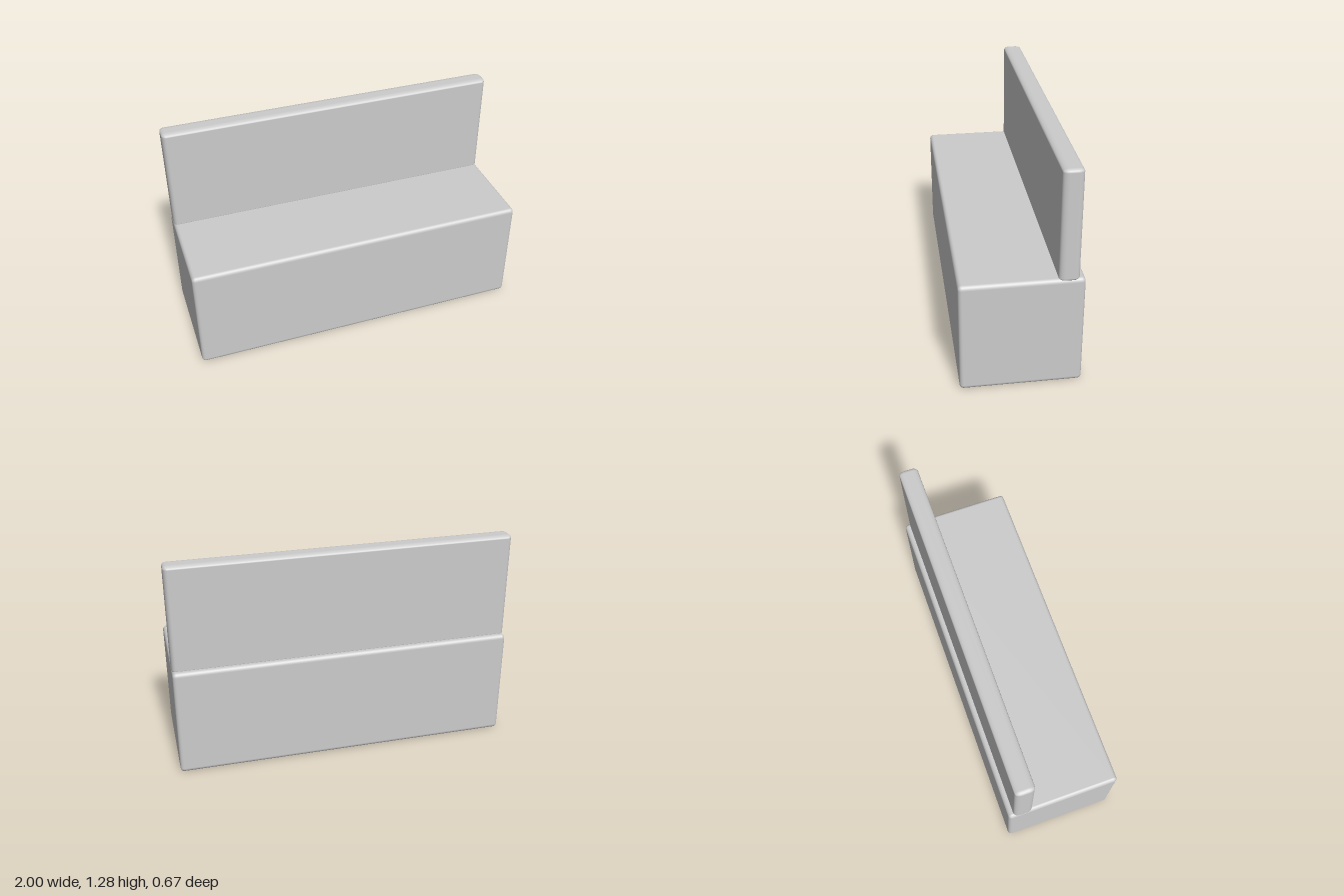
import * as THREE from 'three';
import { RoundedBoxGeometry } from 'three/addons/geometries/RoundedBoxGeometry.js';

const material = new THREE.MeshStandardMaterial({ color: 0xcccccc });

// Box with softly rounded edges; the bevel may differ along each axis
function softBox(name, size, bevel, position) {
  const [w, h, d] = size.map((s, i) => s / bevel[i]);
  const geometry = new RoundedBoxGeometry(w, h, d, 3, 1);
  geometry.scale(...bevel);
  const mesh = new THREE.Mesh(geometry, material);
  mesh.name = name;
  mesh.position.set(...position);
  return mesh;
}

export function createModel() {
  const bench = new THREE.Group();
  bench.name = 'bench';

  // Solid seat block
  bench.add(softBox('seat', [2, 0.655, 0.67], [0.022, 0.025, 0.022], [0, 0.3275, 0]));

  // Upright backrest, sunk slightly into the seat near its rear edge
  bench.add(softBox('backrest', [2, 0.64, 0.112], [0.025, 0.018, 0.035], [0, 0.96, -0.247]));

  return bench;
}
